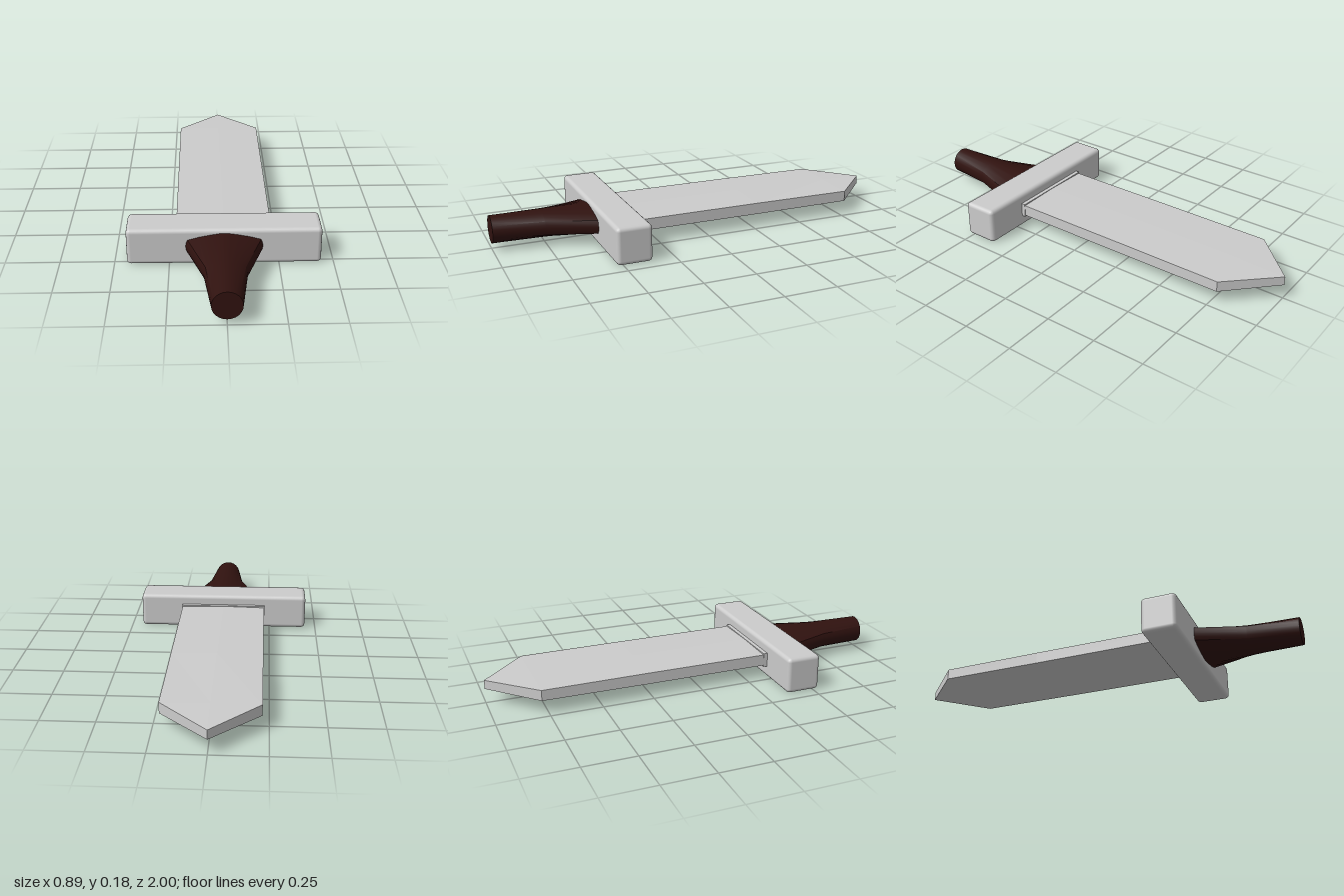
import * as THREE from 'three';
import { toCreasedNormals } from 'three/addons/utils/BufferGeometryUtils.js';
import { RoundedBoxGeometry } from 'three/addons/geometries/RoundedBoxGeometry.js';

const MID_Y = 0.093;

// Flat blade with a faint centre ridge, skinned over six-point cross-sections
function bladeGeometry() {
  // z, half width, half thickness at ridge, half thickness at edge
  const stations = [
    [0.4, 0.22, 0.033, 0.028],
    [-0.27, 0.22, 0.033, 0.028],
    [-0.78, 0.22, 0.028, 0.026],
    [-1, 0, 0.022, 0.022],
  ];
  const rings = stations.map(([z, w, c, e]) => [
    [-w, -e, z], [0, -c, z], [w, -e, z], [w, e, z], [0, c, z], [-w, e, z],
  ]);
  const pos = [];
  for (let i = 0; i < rings.length - 1; i++) {
    for (let j = 0; j < 6; j++) {
      const k = (j + 1) % 6;
      const a = rings[i][j], b = rings[i][k], c = rings[i + 1][k], d = rings[i + 1][j];
      pos.push(...a, ...d, ...c, ...a, ...c, ...b);
    }
  }
  const g = new THREE.BufferGeometry();
  g.setAttribute('position', new THREE.Float32BufferAttribute(pos, 3));
  g.computeVertexNormals();
  return g;
}

// Round grip whose sides are pulled outward toward the guard
function handleGeometry() {
  const r = 0.066;
  const g = new THREE.CylinderGeometry(1, 1, 1, 24, 2).rotateX(Math.PI / 2);
  const p = g.attributes.position;
  for (let i = 0; i < p.count; i++) {
    const x = p.getX(i), y = p.getY(i), z = p.getZ(i);
    const flare = z > 0.25 ? 0 : z > -0.25 ? 0.03 : 0.112;
    const newZ = z > 0.25 ? 1 : z > -0.25 ? 0.76 : 0.52;
    const pull = Math.min(1, (1 - Math.abs(y)) / 0.45);
    p.setXYZ(i, x * r + Math.sign(x) * flare * pull, y * r, newZ);
  }
  return toCreasedNormals(g, Math.PI / 6);
}

export function createModel() {
  const group = new THREE.Group();
  const steel = new THREE.MeshStandardMaterial({ color: 0xcccccc });
  const wood = new THREE.MeshStandardMaterial({ color: 0x30120f });

  const add = (name, geometry, material, y, z) => {
    const mesh = new THREE.Mesh(geometry, material);
    mesh.name = name;
    mesh.position.set(0, y, z);
    group.add(mesh);
  };

  add('blade', bladeGeometry(), steel, MID_Y, 0);
  add('bladeCollar', new THREE.BoxGeometry(0.445, 0.07, 0.06), steel, MID_Y, 0.37);
  add('guard', new RoundedBoxGeometry(0.886, 0.178, 0.17, 2, 0.02), steel, 0.089, 0.445);
  add('handle', handleGeometry(), wood, MID_Y + 0.001, 0);
  return group;
}
